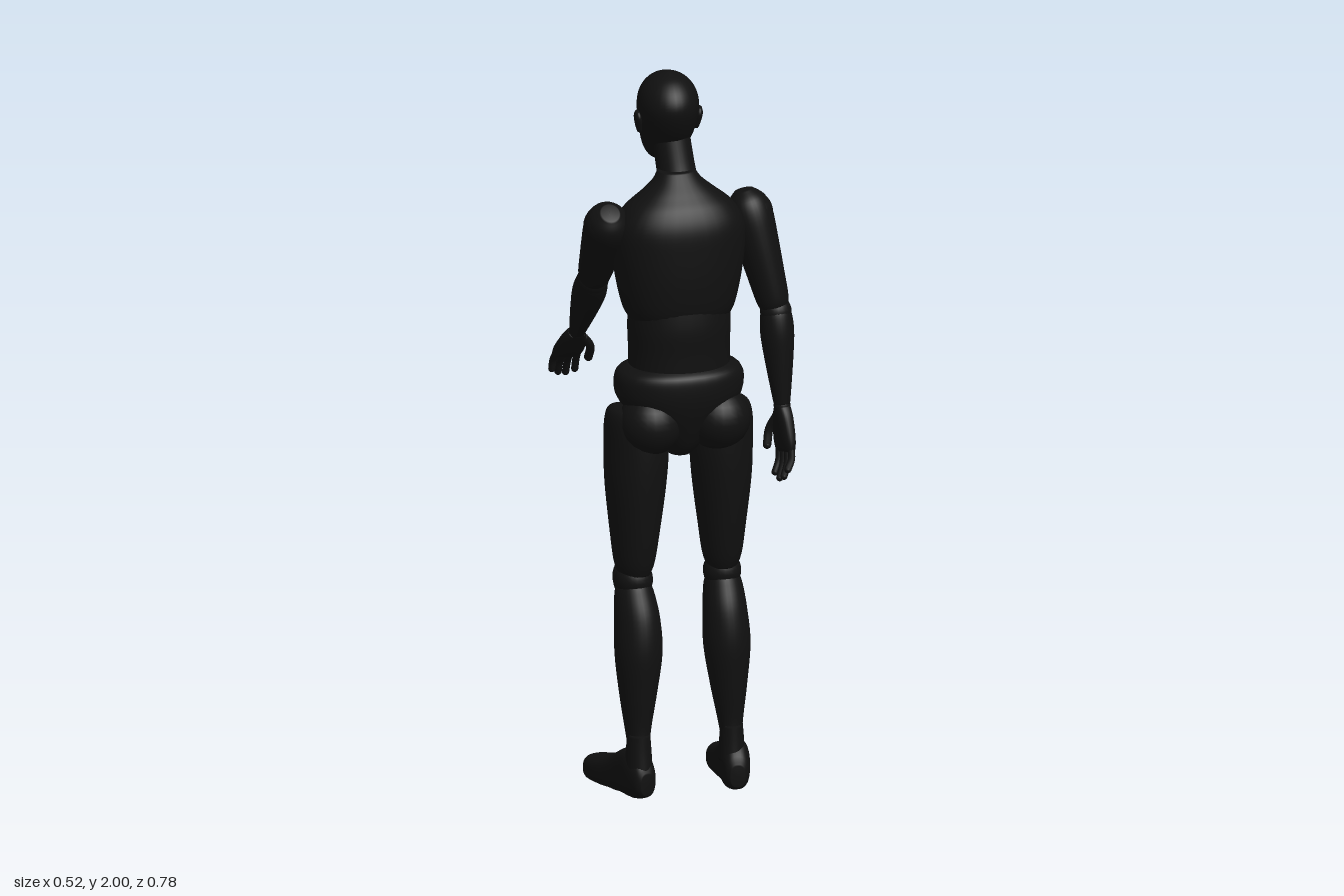
import * as THREE from 'three';

const V = (x, y, z) => new THREE.Vector3(x, y, z);
const material = new THREE.MeshStandardMaterial({ color: 0x101010 });
const FACING = V(0.4, 0, -0.92).normalize();   // the way the body looks
const spline = (a, b, c, d, t) => b + 0.5 * t * (c - a + t * (2 * a - 5 * b + 4 * c - d + t * (3 * (b - c) + d - a)));

export function createModel() {
  const model = new THREE.Group();
  model.name = 'jointedFigure';

  function add(name, geometry, position, parent = model) {
    const mesh = new THREE.Mesh(geometry, material);
    mesh.name = name;
    if (position) mesh.position.copy(position);
    parent.add(mesh);
    return mesh;
  }

  // Smooth closed body along the axis a -> b.
  // Rows: [fraction along axis, half width, half depth, forward offset, side offset]
  function loft(name, a, b, facing, rows, { power = 2, floor = -Infinity } = {}) {
    const Y = b.clone().sub(a), length = Y.length();
    Y.normalize();
    const Z = facing.clone().addScaledVector(Y, -facing.dot(Y)).normalize();
    const X = Y.clone().cross(Z);
    const full = rows.map(r => [r[0], r[1], r[2], r[3] || 0, r[4] || 0]);
    const STEPS = 5, SIDES = 32, rings = [];
    for (let i = 0; i < full.length - 1; i++) {
      const p = [-1, 0, 1, 2].map(k => full[Math.min(full.length - 1, Math.max(0, i + k))]);
      for (let s = 0; s < STEPS; s++) rings.push(p[1].map((_, k) => spline(p[0][k], p[1][k], p[2][k], p[3][k], s / STEPS)));
    }
    rings.push(full[full.length - 1]);
    const shrink = r => [r[0], 1e-4, 1e-4, r[3], r[4]];
    rings.unshift(shrink(rings[0]));
    rings.push(shrink(rings[rings.length - 1]));

    const positions = [], index = [];
    const bend = v => Math.sign(v) * Math.pow(Math.abs(v), 2 / power);
    rings.forEach(([t, rx, rz, oz, ox], i) => {
      for (let j = 0; j < SIDES; j++) {
        const th = j / SIDES * Math.PI * 2;
        const p = a.clone().addScaledVector(Y, t * length)
          .addScaledVector(X, ox + bend(Math.cos(th)) * Math.max(rx, 1e-4))
          .addScaledVector(Z, oz + bend(Math.sin(th)) * Math.max(rz, 1e-4));
        positions.push(p.x, Math.max(p.y, floor), p.z);
        if (i === rings.length - 1) continue;
        const k = (j + 1) % SIDES, A = i * SIDES, B = A + SIDES;
        index.push(A + j, B + j, A + k, B + j, B + k, A + k);
      }
    });
    const g = new THREE.BufferGeometry();
    g.setAttribute('position', new THREE.Float32BufferAttribute(positions, 3));
    g.setIndex(index);
    g.computeVertexNormals();
    return add(name, g);
  }

  const ball = (name, p, r) => add(name, new THREE.SphereGeometry(r, 24, 16), p);

  // Torso shells, given as rows in true heights
  const upright = (name, x, z, facing, rows, options) =>
    loft(name, V(x, 0, z), V(x, 1, z), facing, rows, options);

  upright('pelvis', -0.015, 0.165, FACING, [
    [0.95, 0.03, 0.04], [0.98, 0.055, 0.075], [1.05, 0.115, 0.105], [1.11, 0.168, 0.122],
    [1.16, 0.178, 0.126], [1.19, 0.168, 0.12], [1.205, 0.14, 0.1]], { power: 2.2 });
  upright('abdomen', -0.01, 0.16, FACING, [
    [1.15, 0.14, 0.11], [1.24, 0.138, 0.113], [1.32, 0.14, 0.118], [1.4, 0.135, 0.11]], { power: 2.2 });
  upright('chest', -0.008, 0.155, FACING, [
    [1.32, 0.125, 0.09], [1.36, 0.15, 0.117], [1.44, 0.17, 0.128], [1.53, 0.182, 0.13],
    [1.6, 0.178, 0.122, -0.004], [1.65, 0.148, 0.098, -0.008], [1.685, 0.105, 0.073, -0.004],
    [1.715, 0.068, 0.055, 0.006], [1.74, 0.05, 0.045, 0.02]], { power: 2.3 });

  // Neck and head
  loft('neck', V(0.01, 1.67, 0.14), V(0.02, 1.84, 0.085), FACING, [
    [0, 0.062, 0.058], [0.35, 0.053, 0.05], [1, 0.052, 0.05]]);
  const LOOK = V(0.45, 0, -0.89).normalize();
  const head = V(0.018, 0, 0.08);
  upright('head', head.x, head.z, LOOK, [
    [1.733, 0.018, 0.018, 0.072], [1.745, 0.036, 0.033, 0.066], [1.775, 0.056, 0.058, 0.046],
    [1.82, 0.071, 0.083, 0.02], [1.87, 0.08, 0.099, 0.004], [1.915, 0.083, 0.105, -0.002],
    [1.955, 0.072, 0.09, -0.002], [1.985, 0.045, 0.056, -0.002], [2, 0.006, 0.008, -0.002]]);
  const side = V(0, 1, 0).cross(LOOK);
  const face = (forward, y, out = 0) => head.clone().addScaledVector(LOOK, forward).addScaledVector(side, out).setY(y);
  loft('nose', face(0.102, 1.808), face(0.09, 1.87), LOOK, [
    [0, 0.009, 0.008], [0.15, 0.013, 0.021], [0.5, 0.009, 0.014], [1, 0.005, 0.006]]);
  for (const s of [-1, 1]) {
    loft(s > 0 ? 'leftEar' : 'rightEar', face(0, 1.835, s * 0.078), face(-0.01, 1.895, s * 0.086), LOOK, [
      [0, 0.006, 0.008], [0.3, 0.01, 0.014], [0.75, 0.011, 0.02], [1, 0.006, 0.01]]);
  }

  // Hand: palm, four fingers and a thumb
  function hand(name, wrist, tip, across, curl) {
    const group = new THREE.Group();
    group.name = name;
    const Y = tip.clone().sub(wrist).normalize();
    const X = across.clone().addScaledVector(Y, -across.dot(Y)).normalize();
    const Z = X.clone().cross(Y);
    const at = (x, y, z = 0) => wrist.clone().addScaledVector(X, x).addScaledVector(Y, y).addScaledVector(Z, z * curl);
    group.add(loft('palm', wrist, at(0, 0.125), Z, [
      [0, 0.022, 0.02], [0.25, 0.034, 0.022], [0.7, 0.043, 0.02], [0.95, 0.041, 0.015], [1, 0.034, 0.008]], { power: 2.5 }));
    const digit = (label, points, r) => {
      add(label, new THREE.TubeGeometry(new THREE.CatmullRomCurve3(points), 10, r, 10), null, group);
      for (const p of [points[0], points[points.length - 1]]) add(label + 'End', new THREE.SphereGeometry(r, 12, 8), p, group);
    };
    [0.072, 0.086, 0.08, 0.06].forEach((l, i) => {
      const x = 0.031 - i * 0.0207;
      digit('finger', [at(x, 0.112), at(x * 1.08, 0.115 + l * 0.5, 0.004), at(x * 1.1, 0.11 + l, 0.018)], 0.0098);
    });
    digit('thumb', [at(0.026, 0.03, 0.006), at(0.05, 0.065, 0.016), at(0.053, 0.108, 0.025)], 0.0118);
    model.add(group);
  }

  // Arms: shoulder ball, upper arm, elbow, forearm, wrist, hand
  const arms = [
    { side: 'left', shoulder: V(-0.188, 1.6, 0.07), elbow: V(-0.112, 1.395, -0.08), wrist: V(-0.02, 1.185, -0.255),
      tip: V(0.032, 1.03, -0.395), across: V(0.9, 0, 0.35), curl: -1, front: V(0.4, 0.6, -0.7) },
    { side: 'right', shoulder: V(0.185, 1.598, 0.225), elbow: V(0.218, 1.33, 0.295), wrist: V(0.215, 1.07, 0.325),
      tip: V(0.205, 0.86, 0.362), across: V(0.15, 0, -1), curl: 1, front: FACING }];
  for (const a of arms) {
    ball(a.side + 'Shoulder', a.shoulder, 0.064);
    loft(a.side + 'UpperArm', a.elbow, a.shoulder, a.front, [
      [0.03, 0.035, 0.037], [0.12, 0.044, 0.046], [0.4, 0.051, 0.056], [0.72, 0.058, 0.064],
      [0.98, 0.062, 0.066], [1.14, 0.052, 0.055], [1.24, 0.025, 0.028]]);
    ball(a.side + 'Elbow', a.elbow, 0.043);
    loft(a.side + 'Forearm', a.wrist, a.elbow, a.front, [
      [0.02, 0.022, 0.022], [0.15, 0.027, 0.027], [0.5, 0.039, 0.04], [0.78, 0.046, 0.048],
      [0.98, 0.042, 0.044], [1.07, 0.03, 0.032]]);
    ball(a.side + 'Wrist', a.wrist, 0.023);
    hand(a.side + 'Hand', a.wrist, a.tip, a.across, a.curl);
  }

  // Legs: buttock, thigh, knee, shin, ankle, shoe
  const legs = [
    { side: 'left', hip: V(-0.122, 1.05, 0.115), knee: V(-0.135, 0.6, 0.12), ankle: V(-0.16, 0.13, 0.17),
      heel: V(-0.166, 0, 0.215), toe: V(-0.115, 0, -0.08), out: 1 },
    { side: 'right', hip: V(0.095, 1.05, 0.212), knee: V(0.1, 0.6, 0.21), ankle: V(0.09, 0.13, 0.262),
      heel: V(0.068, 0, 0.315), toe: V(0.22, 0, 0.062), out: -1 }];
  for (const l of legs) {
    const ahead = l.toe.clone().sub(l.heel).normalize();
    const seat = l.hip.clone().addScaledVector(FACING, -0.045).lerp(V(-0.015, 1.05, 0.2), 0.2);
    add(l.side + 'Buttock', new THREE.SphereGeometry(0.088, 24, 16), seat);
    loft(l.side + 'Thigh', l.knee, l.hip, ahead, [
      [0.04, 0.042, 0.05], [0.12, 0.054, 0.062], [0.3, 0.065, 0.075], [0.6, 0.081, 0.09], [0.82, 0.085, 0.095],
      [0.98, 0.077, 0.09, 0, l.out * 0.008], [1.06, 0.055, 0.075, 0, l.out * 0.022], [1.09, 0.03, 0.045, 0, l.out * 0.032]]);
    ball(l.side + 'Knee', l.knee, 0.052);
    loft(l.side + 'Kneecap', l.knee.clone().add(V(0, -0.06, 0)), l.knee.clone().add(V(0, 0.06, 0)), ahead, [
      [0, 0.02, 0.02, 0.034], [0.25, 0.036, 0.03, 0.036], [0.6, 0.04, 0.032, 0.038], [1, 0.02, 0.02, 0.036]]);
    loft(l.side + 'Shin', l.ankle, l.knee, ahead, [
      [0.06, 0.03, 0.035], [0.15, 0.036, 0.04], [0.35, 0.051, 0.055, -0.006], [0.58, 0.064, 0.068, -0.014],
      [0.78, 0.06, 0.067, -0.012], [0.93, 0.052, 0.056, 0], [0.985, 0.04, 0.044, 0]]);
    loft(l.side + 'Ankle', l.ankle.clone().setY(0.08), l.ankle.clone().setY(0.18), ahead, [
      [0, 0.036, 0.042], [0.5, 0.034, 0.037], [1, 0.03, 0.034]]);
    loft(l.side + 'Shoe', l.heel, l.toe, V(0, 1, 0), [
      [0, 0.02, 0.03, 0.045], [0.05, 0.033, 0.05, 0.055], [0.18, 0.041, 0.07, 0.064], [0.34, 0.041, 0.066, 0.06],
      [0.52, 0.045, 0.053, 0.043], [0.75, 0.051, 0.043, 0.03], [0.91, 0.043, 0.036, 0.025], [0.98, 0.027, 0.026, 0.025],
      [1, 0.014, 0.015, 0.025]], { power: 2.5, floor: 0 });
  }
  return model;
}
